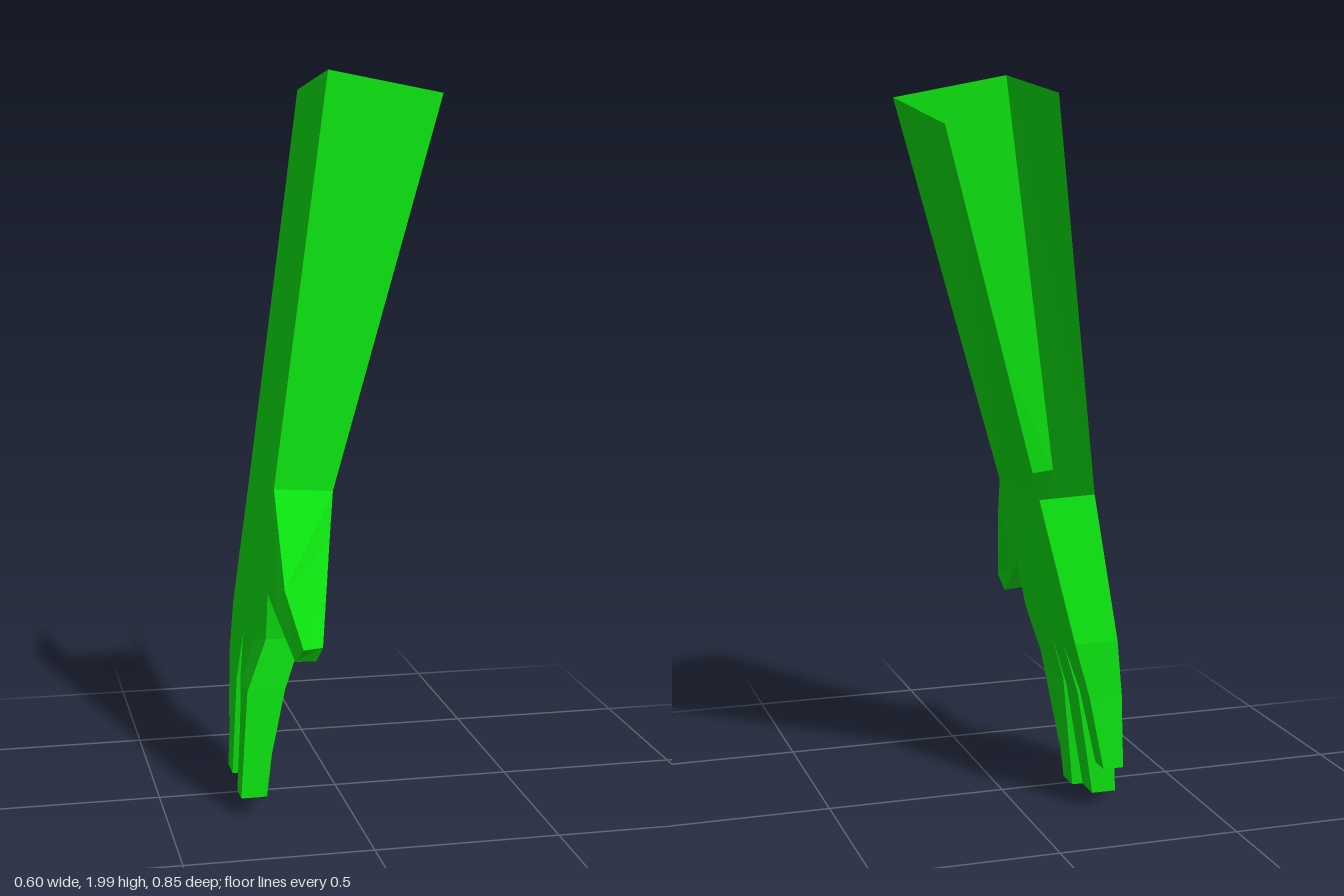
import * as THREE from 'three';

const skin = new THREE.MeshStandardMaterial({ color: 0x0ce010, side: THREE.DoubleSide });
skin.name = 'green skin';

// Flat-faced mesh from a list of polygons (each fanned from its first corner)
function facets(name, polygons) {
  const pts = [];
  for (const p of polygons) {
    for (let i = 1; i < p.length - 1; i++) pts.push(...p[0], ...p[i], ...p[i + 1]);
  }
  const g = new THREE.BufferGeometry();
  g.setAttribute('position', new THREE.Float32BufferAttribute(pts, 3));
  g.computeVertexNormals();
  const mesh = new THREE.Mesh(g, skin);
  mesh.name = name;
  return mesh;
}

// Side walls through a run of four-cornered sections, from first to last
function loft(sections, sides = [0, 1, 2, 3]) {
  const polys = [];
  for (let s = 0; s < sections.length - 1; s++) {
    const t = sections[s], b = sections[s + 1];
    for (const i of sides) {
      const j = (i + 1) % 4;
      polys.push([b[i], b[j], t[j], t[i]]);
    }
  }
  return polys;
}

const endCap = (q) => [q[3], q[2], q[1], q[0]];

export function createModel() {
  const group = new THREE.Group();
  group.name = 'forearmAndHand';

  // Section corners: outer front, inner front, inner back, outer back
  const elbow = [[-0.03, 2.0, 0.055], [0.3, 1.94, 0], [0.28, 1.875, -0.425], [-0.03, 1.95, -0.375]];
  const wrist = [[-0.195, 0.895, 0.133], [-0.03, 0.88, 0.115], [-0.05, 0.875, -0.175], [-0.21, 0.88, -0.17]];

  // Forearm: channel open at the back and the top
  group.add(facets('forearm', loft([elbow, wrist], [0, 1, 3])));

  // Thumb
  const crotchIn = [-0.1, 0.63, 0.18], crotchOut = [-0.222, 0.62, 0.18];
  const thumb = [
    [wrist[0], wrist[1], crotchIn, crotchOut],
    [[-0.2, 0.66, 0.315], [-0.068, 0.765, 0.25], [-0.13, 0.59, 0.275], [-0.22, 0.595, 0.278]],
    [[-0.172, 0.53, 0.425], [-0.118, 0.53, 0.41], [-0.13, 0.487, 0.383], [-0.187, 0.49, 0.388]],
  ];
  group.add(facets('thumb', [...loft(thumb), endCap(thumb[2])]));

  // Knuckle line, shared by palm and fingers: z, y, outer x, inner x
  const knuckles = [
    [0.163, 0.49, -0.225, -0.125],
    [0.06, 0.465, -0.24, -0.13],
    [-0.055, 0.46, -0.25, -0.13],
    [-0.165, 0.465, -0.25, -0.125],
    [-0.258, 0.49, -0.247, -0.125],
  ];
  const outer = knuckles.map(([z, y, o]) => [o, y, z]);
  const inner = knuckles.map(([z, y, , i]) => [i, y, z]);

  // Palm: inner face, back of the hand and the two edges
  group.add(facets('palm', [
    [wrist[2], wrist[1], crotchIn, ...inner],
    [wrist[3], ...outer.slice().reverse(), crotchOut, wrist[0]],
    [wrist[3], wrist[2], inner[4], outer[4]],
    [crotchIn, crotchOut, outer[0], inner[0]],
  ]));

  // Fingers: middle and tip sections as y, front z, back z, outer x, inner x
  const section = ([y, zf, zb, o, i]) => [[o, y, zf], [i, y, zf], [i, y, zb], [o, y, zb]];
  const fingers = {
    indexFinger: [[0.35, 0.175, 0.085, -0.278, -0.175], [0.058, 0.195, 0.125, -0.3, -0.24]],
    middleFinger: [[0.33, 0.058, -0.042, -0.262, -0.168], [0.006, 0.055, -0.02, -0.27, -0.205]],
    ringFinger: [[0.32, -0.07, -0.165, -0.268, -0.168], [0.03, -0.087, -0.165, -0.28, -0.212]],
    littleFinger: [[0.34, -0.185, -0.265, -0.258, -0.165], [0.137, -0.213, -0.276, -0.26, -0.203]],
  };
  Object.entries(fingers).forEach(([name, [mid, tip]], k) => {
    const base = [outer[k], inner[k], inner[k + 1], outer[k + 1]];
    const run = [base, section(mid), section(tip)];
    group.add(facets(name, [...loft(run), endCap(run[2])]));
  });

  return group;
}
